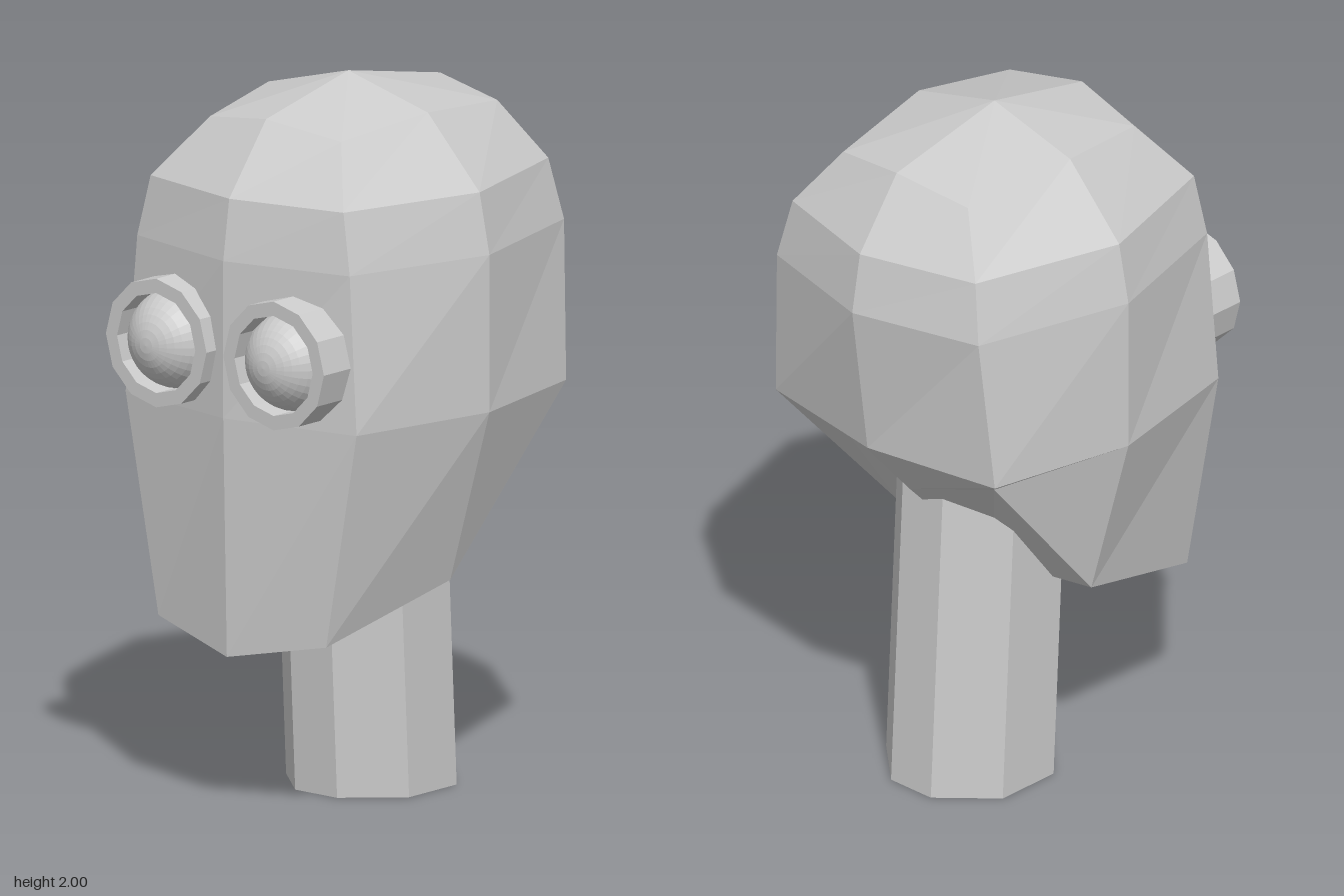
import * as THREE from 'three';

const material = new THREE.MeshStandardMaterial({ color: 0xcccccc, flatShading: true });

function addMesh(parent, name, geometry) {
  const mesh = new THREE.Mesh(geometry, material);
  mesh.name = name;
  parent.add(mesh);
  return mesh;
}

// Skin rings of [x, y, z] points, listed bottom to top, and fan both ends to a centre point.
function loft(rings, bottom, top) {
  const n = rings[0].length;
  const positions = [];
  const tri = (a, b, c) => positions.push(...a, ...b, ...c);
  for (let i = 0; i < n; i++) {
    const j = (i + 1) % n;
    tri(bottom, rings[0][j], rings[0][i]);
    for (let k = 0; k < rings.length - 1; k++) {
      const lo = rings[k], hi = rings[k + 1];
      tri(lo[i], lo[j], hi[j]);
      tri(lo[i], hi[j], hi[i]);
    }
    const last = rings[rings.length - 1];
    tri(top, last[i], last[j]);
  }
  const geometry = new THREE.BufferGeometry();
  geometry.setAttribute('position', new THREE.Float32BufferAttribute(positions, 3));
  geometry.computeVertexNormals();
  return geometry;
}

// Complete a half ring (front middle, round the left side, back middle) by mirroring.
function mirrorRing(half) {
  return [...half, ...half.slice(1, -1).reverse().map(([x, y, z]) => [-x, y, z])];
}

// Level ring of the skull: corner x, side x, and front / back depths.
function levelRing(y, cornerX, sideX, frontZ, frontCornerZ, backCornerZ, backZ) {
  return mirrorRing([
    [0, y, frontZ], [cornerX, y, frontCornerZ], [sideX, y, -0.025],
    [cornerX, y, backCornerZ], [0, y, backZ],
  ]);
}

function createHead() {
  const jaw = mirrorRing([
    [0, 0.45, 0.485], [0.3, 0.51, 0.42], [0.365, 0.63, -0.025],
    [0.3, 1.03, -0.34], [0, 0.93, -0.36],
  ]);
  const crown = mirrorRing([
    [0, 1.925, 0.32], [0.235, 1.89, 0.28], [0.285, 1.925, -0.025],
    [0.235, 1.89, -0.375], [0, 1.925, -0.41],
  ]);
  return loft([
    jaw,
    levelRing(1.12, 0.413, 0.505, 0.5, 0.425, -0.455, -0.525),
    levelRing(1.56, 0.38, 0.505, 0.5, 0.415, -0.485, -0.585),
    levelRing(1.73, 0.345, 0.47, 0.475, 0.4, -0.46, -0.555),
    crown,
  ], [0, 0.58, -0.025], [0, 2, -0.025]);
}

// Eight-sided neck leaning slightly forward into the skull.
function createNeck() {
  const section = (y, z) => mirrorRing([
    [0, y, z + 0.232], [0.075, y, z + 0.232], [0.22, y, z + 0.1],
    [0.22, y, z - 0.1], [0.075, y, z - 0.232], [0, y, z - 0.232],
  ]);
  return loft([section(0, -0.122), section(0.92, -0.075)], [0, 0, -0.122], [0, 0.92, -0.075]);
}

// Twelve-sided socket tube, open at the front.
function createSocket() {
  const profile = [[0.14, -0.06], [0.18, -0.06], [0.18, 0.075], [0.14, 0.075], [0.14, -0.06]]
    .map(([r, h]) => new THREE.Vector2(r, h));
  return new THREE.LatheGeometry(profile, 12).rotateX(Math.PI / 2);
}

export function createModel() {
  const model = new THREE.Group();
  model.name = 'headBust';
  addMesh(model, 'head', createHead());
  addMesh(model, 'neck', createNeck());

  for (const side of [1, -1]) {
    const eye = new THREE.Group();
    eye.name = side > 0 ? 'leftEye' : 'rightEye';
    eye.position.set(side * 0.21, 1.305, 0.46);
    addMesh(eye, 'socket', createSocket());
    const ball = new THREE.SphereGeometry(0.14, 32, 20).rotateX(Math.PI / 2);
    addMesh(eye, 'eyeball', ball).position.z = -0.02;
    model.add(eye);
  }
  return model;
}
